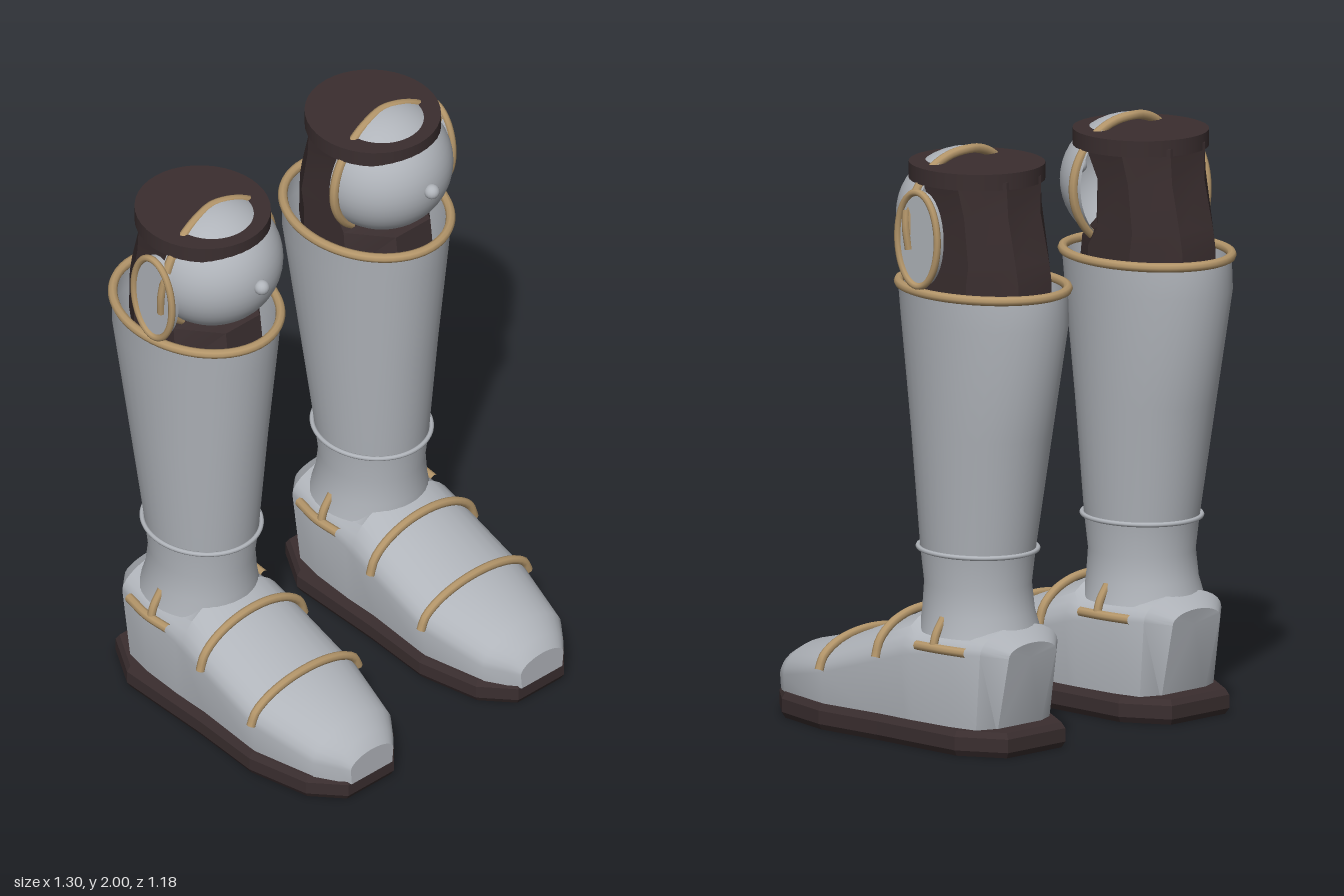
import * as THREE from 'three';
import { toCreasedNormals } from 'three/addons/utils/BufferGeometryUtils.js';

const mat = (name, color, side = THREE.FrontSide) => {
  const m = new THREE.MeshStandardMaterial({ color, side });
  m.name = name;
  return m;
};

// Skins a list of closed rings (arrays of Vector3), optionally capping both ends
function loft(rings, caps, crease) {
  const n = rings[0].length, pos = [], idx = [];
  rings.forEach(r => r.forEach(p => pos.push(p.x, p.y, p.z)));
  for (let i = 0; i < rings.length - 1; i++) {
    for (let j = 0; j < n; j++) {
      const a = i * n + j, b = i * n + (j + 1) % n;
      idx.push(a, b, b + n, a, b + n, a + n);
    }
  }
  if (caps) {
    [0, rings.length - 1].forEach(i => {
      const c = new THREE.Vector3();
      rings[i].forEach(p => c.addScaledVector(p, 1 / n));
      const k = pos.length / 3;
      pos.push(c.x, c.y, c.z);
      for (let j = 0; j < n; j++) {
        const a = i * n + j, b = i * n + (j + 1) % n;
        if (i) idx.push(a, b, k); else idx.push(b, a, k);
      }
    });
  }
  const g = new THREE.BufferGeometry();
  g.setAttribute('position', new THREE.Float32BufferAttribute(pos, 3));
  g.setIndex(idx);
  return toCreasedNormals(g, crease);
}

// Horizontal ellipse given by height, half width, front z and back z
function ellipse([y, rx, front, back], n, turn = 0) {
  return Array.from({ length: n }, (_, i) => {
    const a = (i + turn) / n * Math.PI * 2;
    return new THREE.Vector3(rx * Math.sin(a), y, (front + back) / 2 + (front - back) / 2 * Math.cos(a));
  });
}

// Foot cross-section: narrow flat base, straight sides, arched top
function footSection([z, w, base, spring, top, lean]) {
  const pts = [], steps = 14;
  for (let i = 0; i <= steps; i++) {
    const a = i / steps * Math.PI;
    pts.push(new THREE.Vector3(w * Math.cos(a), spring + (top - spring) * Math.sin(a), z));
  }
  pts.push(new THREE.Vector3(-base, 0.065, z + lean), new THREE.Vector3(base, 0.065, z + lean));
  return pts;
}

const tube = (pts, r, closed = false) => new THREE.TubeGeometry(
  new THREE.CatmullRomCurve3(pts, closed), closed ? 64 : 24, r, 8, closed);

// Outline of the sole, scaled about its centre
function soleOutline(target, sx, sz) {
  const half = [[0.10, 0.58], [0.19, 0.48], [0.24, 0.26], [0.225, 0], [0.22, -0.36], [0.13, -0.51]];
  const all = [...half, ...half.slice().reverse().map(([x, z]) => [-x, z])];
  target.setFromPoints(all.map(([x, z]) => new THREE.Vector2(x * sx, -(0.035 + (z - 0.035) * sz))));
  return target;
}

function makeBoot(side, m) {
  const boot = new THREE.Group();
  const add = (name, geo, material, x = 0, y = 0, z = 0) => {
    const mesh = new THREE.Mesh(geo, material);
    mesh.name = name;
    mesh.position.set(x, y, z);
    boot.add(mesh);
    return mesh;
  };
  const V = (x, y, z) => new THREE.Vector3(x, y, z);

  // Sole: a bevelled rim around a recessed centre
  const shape = soleOutline(new THREE.Shape(), 0.97, 0.985);
  shape.holes.push(soleOutline(new THREE.Path(), 0.58, 0.78));
  const sole = new THREE.ExtrudeGeometry(shape, {
    depth: 0.045, bevelEnabled: true, bevelThickness: 0.02, bevelSize: 0.012, bevelSegments: 1 });
  sole.rotateX(-Math.PI / 2);
  add('sole', sole, m.dark, 0, 0.02, 0);

  // Foot, heel to toe
  add('foot', loft([
    [-0.495, 0.11, 0.10, 0.33, 0.37, 0.065],
    [-0.43, 0.18, 0.17, 0.34, 0.42, 0.03],
    [-0.30, 0.205, 0.19, 0.33, 0.42, 0],
    [-0.14, 0.215, 0.20, 0.31, 0.425, 0],
    [-0.10, 0.22, 0.20, 0.30, 0.45, 0],
    [0, 0.225, 0.20, 0.27, 0.405, 0],
    [0.26, 0.23, 0.22, 0.19, 0.30, 0],
    [0.49, 0.175, 0.17, 0.14, 0.24, 0],
    [0.555, 0.125, 0.12, 0.13, 0.205, 0],
    [0.588, 0.095, 0.09, 0.12, 0.165, 0],
  ].map(footSection), true, 0.6), m.plate);

  // Straps over the foot
  [[0.26, 0.24, 0.2, 0.31], [0.005, 0.232, 0.28, 0.42]].forEach(([z, w, low, high]) => {
    const pts = [];
    for (let i = 0; i <= 8; i++) {
      const a = i / 8 * Math.PI;
      pts.push(V(w * Math.cos(a), low + (high - low) * Math.sin(a), z));
    }
    add('footStrap', tube(pts, 0.015), m.trim);
  });

  // Crossed fittings at both sides of the ankle
  for (const s of [-1, 1]) {
    add('ankleBar', tube([V(s * 0.195, 0.345, -0.38), V(s * 0.218, 0.347, -0.27), V(s * 0.215, 0.345, -0.17)], 0.016), m.trim);
    add('anklePin', tube([V(s * 0.22, 0.34, -0.25), V(s * 0.205, 0.39, -0.25), V(s * 0.17, 0.44, -0.25)], 0.014), m.trim);
  }

  // Shin tube, open at the top
  add('shin', loft([
    [0.38, 0.195, -0.045, -0.455],
    [0.45, 0.178, -0.05, -0.435],
    [0.54, 0.17, -0.055, -0.425],
    [0.65, 0.18, -0.04, -0.44],
    [1.05, 0.213, -0.005, -0.51],
    [1.43, 0.243, 0.037, -0.58],
    [1.54, 0.25, 0.045, -0.57],
  ].map(s => ellipse(s, 40)), false, 1), m.shell);
  add('shinRim', tube(ellipse([1.54, 0.247, 0.043, -0.572], 24), 0.016, true), m.trim);
  add('ankleRing', tube(ellipse([0.655, 0.188, -0.033, -0.447], 24), 0.008, true), m.plate);

  // Knee core and its flat cap
  add('kneeCore', loft([
    [1.42, 0.2, 0.0, -0.53],
    [1.575, 0.2, -0.02, -0.525],
    [1.64, 0.2, -0.09, -0.51],
    [1.80, 0.195, -0.1, -0.47],
    [1.92, 0.21, -0.03, -0.47],
  ].map(s => ellipse(s, 8, 0.5)), true, 0.5), m.dark);
  const cap = add('kneeCap', new THREE.CylinderGeometry(1, 1, 0.055, 40), m.dark, 0, 1.922, -0.235);
  cap.scale.set(0.22, 1, 0.23);

  // Rounded knee guard: front half of a ball, with stud and edge trim
  const guard = new THREE.SphereGeometry(1, 40, 24, 0, Math.PI);
  guard.scale(0.235, 0.222, 0.235);
  add('kneeGuard', guard, m.shell, 0, 1.77, -0.19);
  add('kneeStud', new THREE.SphereGeometry(0.026, 16, 12), m.plate, 0, 1.78, 0.052);
  const edge = Array.from({ length: 24 }, (_, i) => {
    const a = i / 24 * Math.PI * 2;
    return V(0.24 * Math.cos(a), 1.765 + 0.218 * Math.sin(a), -0.19 + 0.028 * Math.abs(Math.cos(a)));
  });
  add('kneeGuardTrim', tube(edge, 0.016, true), m.trim);

  // Oval plate on the outer side of the knee
  const oval = Array.from({ length: 24 }, (_, i) => {
    const a = i / 24 * Math.PI * 2;
    return V(0, 0.158 * Math.sin(a), 0.092 * Math.cos(a));
  });
  add('sidePlateTrim', tube(oval, 0.012, true), m.trim, side * 0.248, 1.718, -0.207);
  const plate = new THREE.CylinderGeometry(1, 1, 0.03, 32);
  plate.rotateZ(Math.PI / 2);
  plate.scale(1, 0.158, 0.092);
  add('sidePlate', plate, m.plate, side * 0.233, 1.718, -0.207);
  add('sidePlateBar', tube([V(0, 1.68, -0.167), V(side * 0.006, 1.75, -0.16), V(0, 1.81, -0.155)], 0.013),
    m.trim, side * 0.249);
  return boot;
}

export function createModel() {
  const m = {
    plate: mat('paleSteel', 0xb0b4ba),
    shell: mat('paleSteelShell', 0xb0b4ba, THREE.DoubleSide),
    dark: mat('darkLeather', 0x3a2e2f),
    trim: mat('tanTrim', 0xb4966a),
  };
  const model = new THREE.Group();
  model.name = 'armouredBoots';
  for (const side of [-1, 1]) {
    const boot = makeBoot(side, m);
    boot.name = side > 0 ? 'leftBoot' : 'rightBoot';
    boot.position.x = side * 0.38;
    model.add(boot);
  }
  return model;
}
